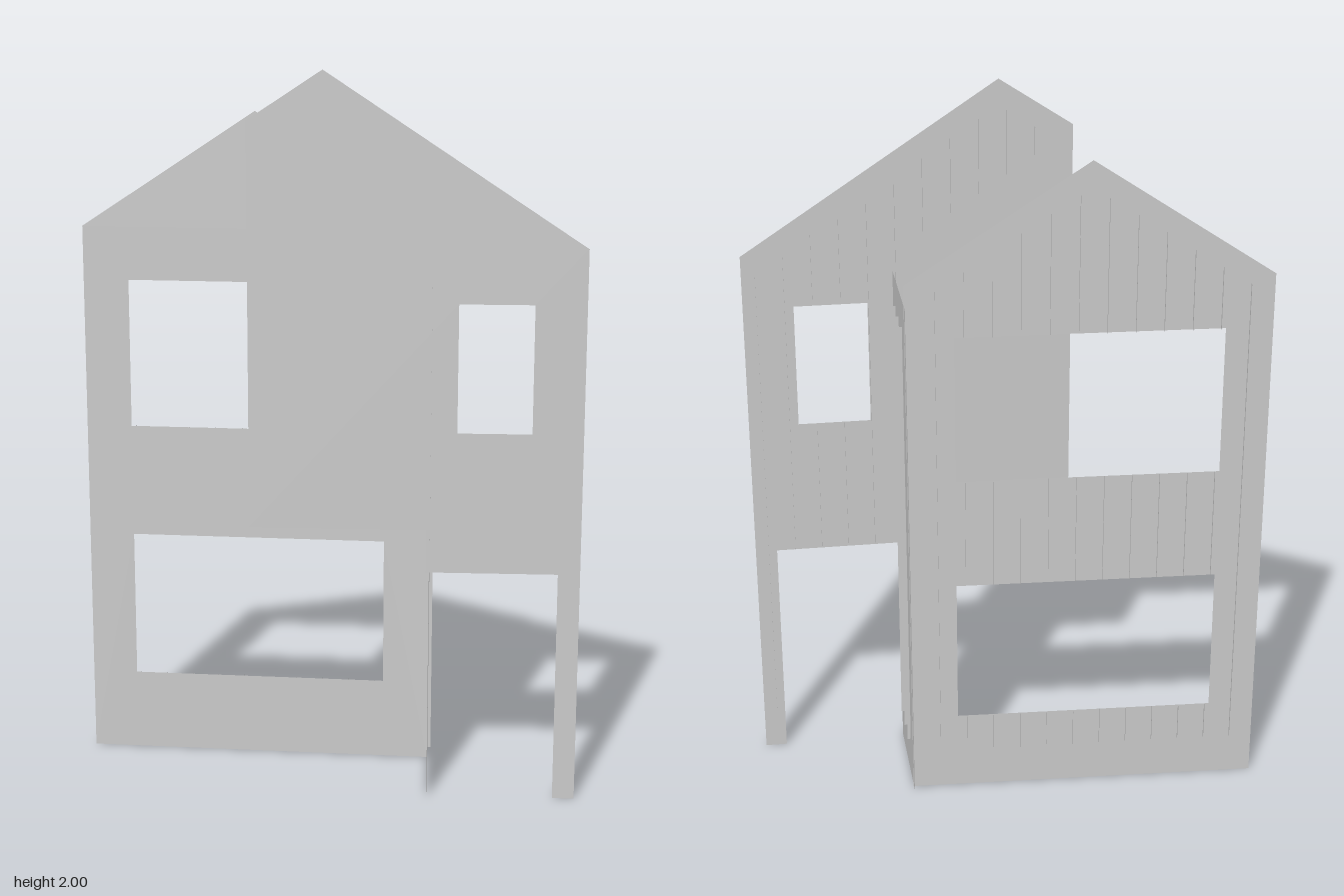
import * as THREE from 'three';

const material = new THREE.MeshStandardMaterial({
  color: 0xcccccc, side: THREE.DoubleSide, flatShading: true,
});
const FIN_DEPTH = 0.009;
const FIN_STEP = 0.0757;

const toPoints = (list) => list.map(([x, y]) => new THREE.Vector2(x, y));
const rect = (x0, y0, x1, y1) => [[x0, y0], [x0, y1], [x1, y1], [x1, y0]];

// Thin wall sheet with rectangular openings
function sheet(outline, windows) {
  const shape = new THREE.Shape(toPoints(outline));
  for (const w of windows) shape.holes.push(new THREE.Path(toPoints(rect(...w))));
  const mesh = new THREE.Mesh(new THREE.ShapeGeometry(shape), material);
  mesh.name = 'wallSheet';
  return mesh;
}

// Thin upright siding rib standing out behind the sheet
function rib(x, y0, y1) {
  const geometry = new THREE.PlaneGeometry(FIN_DEPTH, y1 - y0);
  geometry.rotateY(Math.PI / 2).translate(x, (y0 + y1) / 2, -FIN_DEPTH / 2);
  const mesh = new THREE.Mesh(geometry, material);
  mesh.name = 'sidingRib';
  return mesh;
}

// Wall with evenly spaced ribs, interrupted at each opening
function wall({ name, outline, windows = [], openings = windows, first, count, bottom, top }) {
  const group = new THREE.Group();
  group.name = name;
  group.add(sheet(outline, windows));
  for (let i = 0; i < count; i++) {
    const x = first - i * FIN_STEP;
    let start = bottom(x);
    const cuts = openings.filter((o) => x > o[0] && x < o[2]).sort((a, b) => a[1] - b[1]);
    for (const [, y0, , y1] of cuts) {
      if (y0 - start > 0.01) group.add(rib(x, start, y0));
      start = Math.max(start, y1);
    }
    if (top(x) - start > 0.005) group.add(rib(x, start, top(x)));
  }
  return group;
}

export function createModel() {
  const model = new THREE.Group();
  model.name = 'houseFacade';

  const slope = 0.66;
  const mainRoof = (x) => 2 - slope * Math.abs(x);
  const lowRoof = (x) => 1.863 - slope * Math.abs(x + 0.21);

  // Tall gable, with doorway and small window
  const front = wall({
    name: 'frontWall',
    outline: [[-0.2, 0.77], [0.28, 0.77], [0.28, 0.65], [0.637, 0.65], [0.637, 0],
      [0.697, 0], [0.697, 1.54], [0, 2], [-0.2, 1.868]],
    windows: [[0.36, 1.04, 0.56, 1.39]],
    openings: [[0.28, 0, 0.637, 0.65], [0.36, 1.04, 0.56, 1.39]],
    first: 0.66, count: 12,
    bottom: (x) => (x < 0.28 ? lowRoof(x) : 0.12),
    top: (x) => mainRoof(x) - 0.07,
  });
  front.position.z = 0.15;
  front.rotation.y = 0.0245;

  // Lower gable, with two wide windows
  const back = wall({
    name: 'backWall',
    outline: [[-0.697, 0], [0.28, 0], [0.28, 1.54], [-0.21, 1.863], [-0.697, 1.54]],
    windows: [[-0.57, 0.23, 0.15, 0.65], [-0.57, 0.97, 0.15, 1.39]],
    first: 0.2, count: 12,
    bottom: () => 0.12,
    top: (x) => lowRoof(x) - 0.07,
  });
  back.position.z = -0.1366;
  back.rotation.y = -0.022;

  // Plain wall joining the two gables
  const side = wall({
    name: 'sideWall',
    outline: rect(-0.1485, 0, 0.15, 1.48),
    first: 0.085, count: 3,
    bottom: () => 0.12,
    top: () => 1.4,
  });
  side.position.x = 0.284;
  side.rotation.y = -(Math.PI / 2 - 0.04);

  model.add(front, back, side);
  return model;
}
